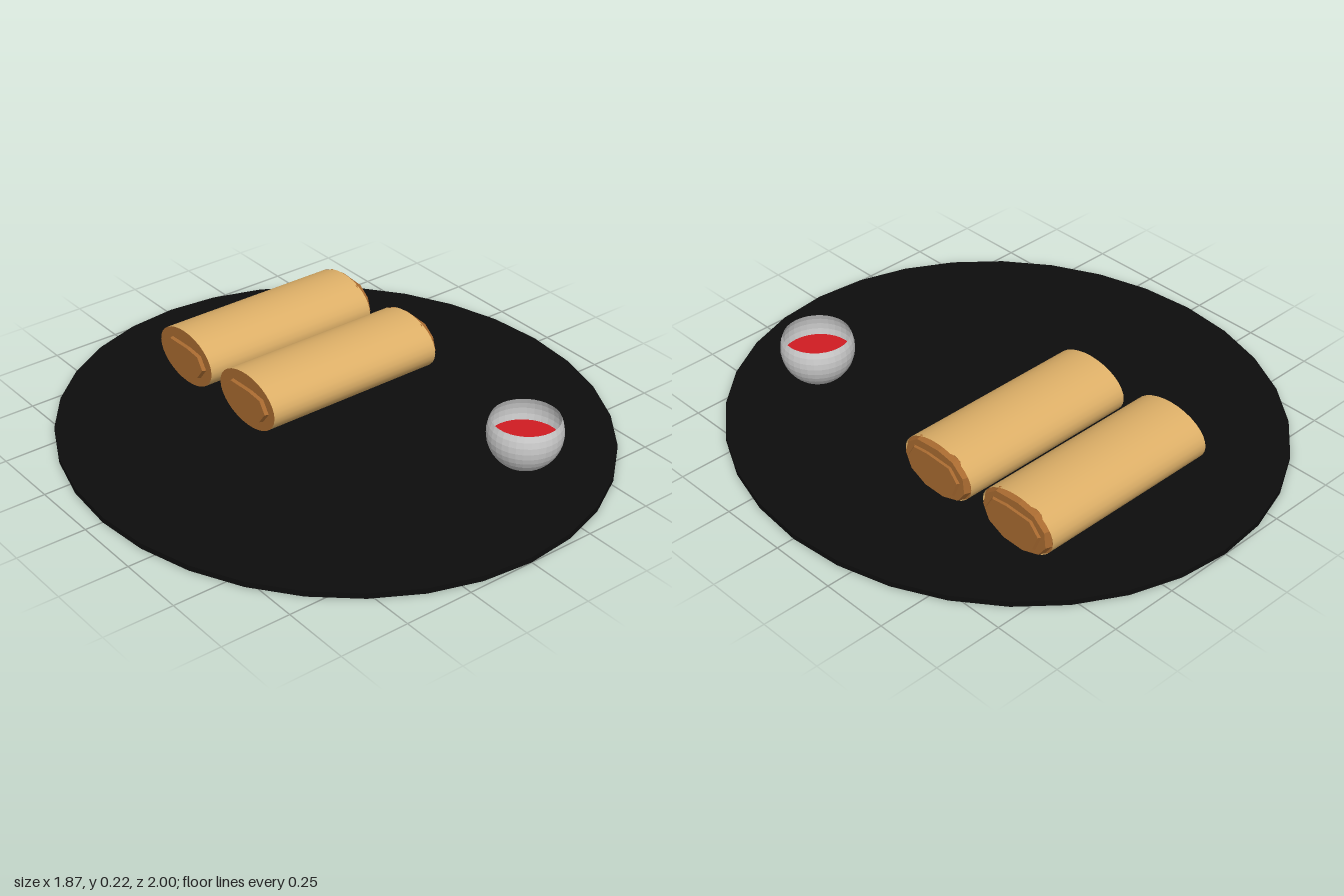
import * as THREE from 'three';

const mat = (color, extra = {}) => new THREE.MeshStandardMaterial({ color, ...extra });

function addMesh(parent, name, geometry, material) {
  const mesh = new THREE.Mesh(geometry, material);
  mesh.name = name;
  parent.add(mesh);
  return mesh;
}

// Flat-topped lump between two x positions, from an outline of [z, y] points
function endLump(outline, x0, x1, tipScale) {
  const n = outline.length, pos = [], index = [];
  for (const [x, s] of [[x0, 1], [x1, tipScale]])
    for (const [z, y] of outline) pos.push(x, y * s, z * s);
  pos.push(x1, 0, 0);
  const out = x1 > x0;
  const tri = (a, b, c) => (out ? index.push(a, b, c) : index.push(a, c, b));
  for (let i = 0; i < n; i++) {
    const j = (i + 1) % n;
    tri(i, n + j, j);
    tri(i, n + i, n + j);
    tri(n + j, n + i, 2 * n);
  }
  const g = new THREE.BufferGeometry();
  g.setAttribute('position', new THREE.Float32BufferAttribute(pos, 3));
  g.setIndex(index);
  const flat = g.toNonIndexed();
  flat.computeVertexNormals();
  return flat;
}

// Outlines as [z, y], running from +z up over the top
const rimOutline = [[0.148, 0.0], [0.132, 0.05], [0.085, 0.086], [-0.02, 0.094], [-0.09, 0.082],
  [-0.14, 0.04], [-0.147, -0.02], [-0.115, -0.066], [-0.04, -0.092], [0.05, -0.09], [0.12, -0.058]];
const fillOutline = [[0.125, 0.0], [0.095, 0.052], [0.03, 0.06], [-0.08, 0.056],
  [-0.12, 0.012], [-0.095, -0.052], [0.01, -0.062], [0.09, -0.054]];

export function createModel() {
  const model = new THREE.Group();
  const wrapMat = mat(0xdeb068, { side: THREE.DoubleSide });
  const fillMat = mat(0xa86a30, { flatShading: true, side: THREE.DoubleSide });

  // Oval plate
  const plate = addMesh(model, 'plate', new THREE.CylinderGeometry(1, 1, 0.02, 32), mat(0x0d0d0d, { flatShading: true }));
  plate.scale.x = 0.935;
  plate.position.y = 0.01;

  // Two oval rolls lying along x
  for (const z of [-0.165, -0.533]) {
    const roll = new THREE.Group();
    roll.name = 'roll';
    roll.position.set(0, 0.12, z);
    model.add(roll);

    const wrapGeo = new THREE.CylinderGeometry(1, 1, 0.705, 32, 1, true);
    wrapGeo.rotateZ(-Math.PI / 2);
    wrapGeo.scale(1, 0.1, 0.157);
    wrapGeo.translate(0.1075, 0, 0);
    // small nick in the edge at the back of the top
    const p = wrapGeo.attributes.position;
    for (let i = 0; i < p.count; i++) {
      const a = Math.atan2(p.getZ(i) / 0.157, p.getY(i) / 0.1);
      if (p.getX(i) > 0 && Math.abs(a + 0.65) < 0.12) p.setX(i, 0.445);
    }
    addMesh(roll, 'wrapper', wrapGeo, wrapMat);

    // Brown end faces
    for (const [x, dir] of [[-0.245, -1], [0.452, 1]]) {
      const face = new THREE.CircleGeometry(1, 32);
      face.rotateY(dir * Math.PI / 2);
      face.scale(1, 0.1, 0.157);
      face.translate(x, 0, 0);
      addMesh(roll, 'endFace', face, fillMat);
    }
    addMesh(roll, 'endRim', endLump(rimOutline, 0.452, 0.475, 0.95), fillMat);
    addMesh(roll, 'rightFilling', endLump(fillOutline, 0.474, 0.483, 0.94), fillMat);
    addMesh(roll, 'leftFilling', endLump(fillOutline.map(([a, b]) => [a, b * 0.85]), -0.244, -0.258, 0.95), fillMat);
  }

  // Round dipping bowl with sauce
  const bowl = new THREE.Group();
  bowl.name = 'sauceBowl';
  bowl.position.set(0.33, 0.15, 0.6);
  model.add(bowl);
  const start = Math.acos(0.055 / 0.13);
  addMesh(bowl, 'bowl', new THREE.SphereGeometry(0.13, 32, 12, 0, Math.PI * 2, start, Math.PI - start),
    mat(0xcccccc, { flatShading: true, side: THREE.DoubleSide }));
  const sauce = addMesh(bowl, 'sauce', new THREE.CircleGeometry(0.125, 32), mat(0xd01c22));
  sauce.rotation.x = -Math.PI / 2;
  sauce.position.y = -0.03;

  return model;
}
